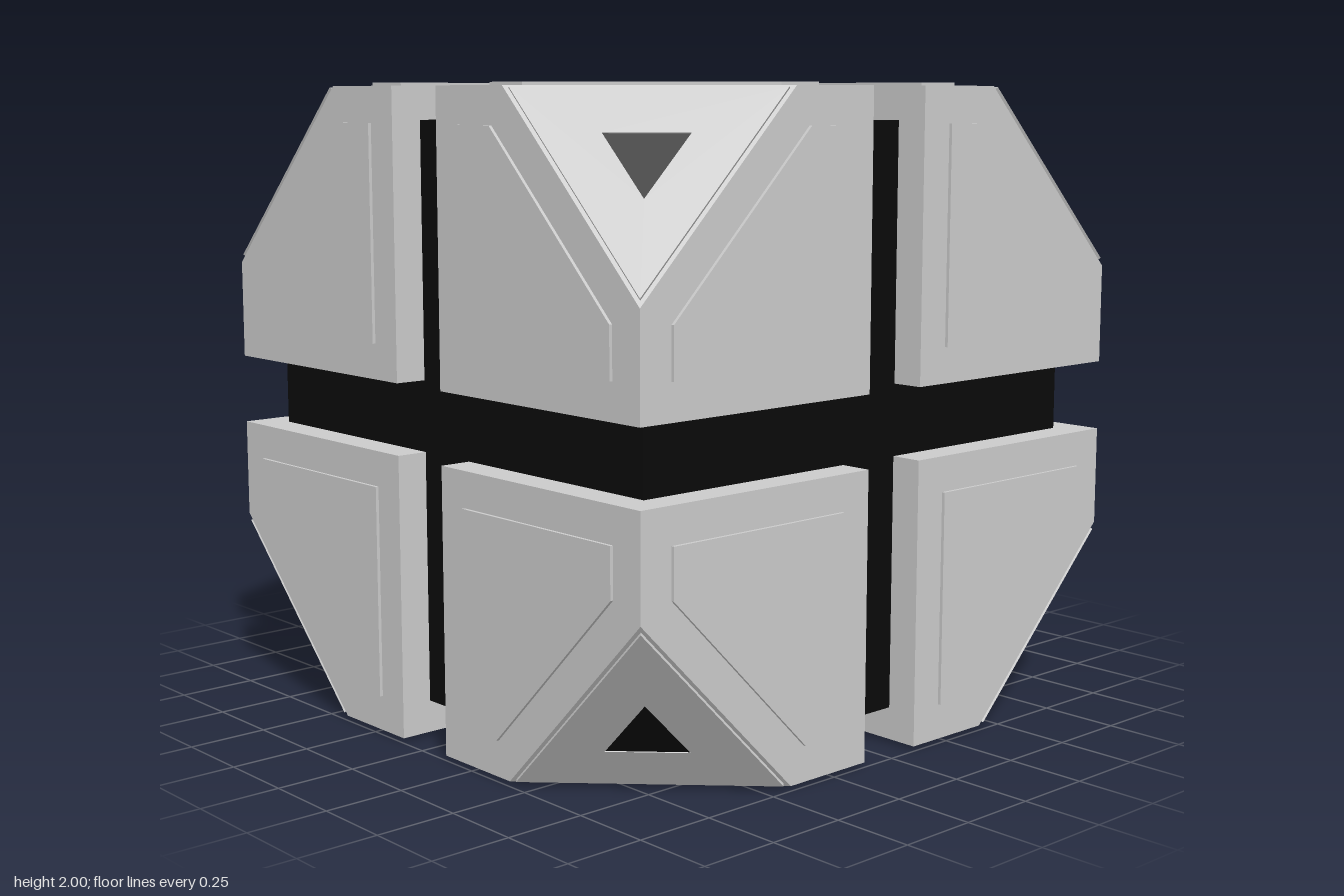
import * as THREE from 'three';
import { ConvexGeometry } from 'three/addons/geometries/ConvexGeometry.js';

const IN = 0.11, OUT = 0.99, CUT = 0.42;   // block inner face, outer face, start of corner cut
const V = (x, y, z) => new THREE.Vector3(x, y, z);

export function createModel() {
  const model = new THREE.Group();
  const grey = new THREE.MeshStandardMaterial({ color: 0xcccccc, flatShading: true });
  const black = new THREE.MeshStandardMaterial({ color: 0x0a0a0a, flatShading: true });

  const add = (parent, name, geometry, material) => {
    const mesh = new THREE.Mesh(geometry, material);
    mesh.name = name;
    parent.add(mesh);
    return mesh;
  };

  // Dark core: a cube with its corners cut off
  const corePoints = [];
  for (const x of [-1, 1]) for (const y of [-1, 1]) for (const z of [-1, 1]) {
    const a = 0.89, b = 0.5;
    corePoints.push(V(x * a, y * a, z * b), V(x * a, y * b, z * a), V(x * b, y * a, z * a));
  }
  add(model, 'core', new ConvexGeometry(corePoints), black).position.y = 1;

  // Corner block: a cube with one corner sliced away
  const blockGeometry = new ConvexGeometry([
    V(IN, IN, IN), V(OUT, IN, IN), V(IN, OUT, IN), V(IN, IN, OUT),
    V(OUT, OUT, IN), V(OUT, IN, OUT), V(IN, OUT, OUT),
    V(CUT, OUT, OUT), V(OUT, CUT, OUT), V(OUT, OUT, CUT),
  ]);

  // Raised five-sided panel, laid on each of the three outer faces
  const outline = [[0.22, 0.22], [0.88, 0.22], [0.88, 0.37], [0.37, 0.88], [0.22, 0.88]];
  const panelGeometry = (toPoint) => new ConvexGeometry(
    outline.flatMap(([u, v]) => [OUT - 0.02, 1].map((h) => toPoint(u, v, h))));
  const panels = {
    frontPanel: panelGeometry((u, v, h) => V(u, v, h)),
    sidePanel: panelGeometry((u, v, h) => V(h, u, v)),
    topPanel: panelGeometry((u, v, h) => V(v, h, u)),
  };

  // Triangular plate with a triangular opening, and its dark inlay, on the sliced corner
  const radius = (OUT - CUT) * Math.sqrt(2 / 3);
  const corners = (r) => [0, 1, 2].map((i) => {
    const a = Math.PI / 2 + i * Math.PI * 2 / 3;
    return new THREE.Vector2(r * Math.cos(a), r * Math.sin(a));
  });
  const n = V(1, 1, 1).normalize();
  const up = V(1, -2, 1).negate().normalize().negate();
  const toCorner = new THREE.Matrix4()
    .makeBasis(up.clone().cross(n), up, n)
    .setPosition((2 * OUT + CUT) / 3, (2 * OUT + CUT) / 3, (2 * OUT + CUT) / 3);
  const plateShape = new THREE.Shape(corners(radius * 0.95));
  plateShape.holes.push(new THREE.Path(corners(radius * 0.3)));
  const extrude = (shape, depth) =>
    new THREE.ExtrudeGeometry(shape, { depth, bevelEnabled: false }).applyMatrix4(toCorner);
  const plateGeometry = extrude(plateShape, 0.01);
  const inlayGeometry = extrude(new THREE.Shape(corners(radius * 0.3)), 0.007);

  // Eight corners: four turns about y, upper and flipped lower
  for (const flip of [0, 1]) for (let turn = 0; turn < 4; turn++) {
    const corner = new THREE.Group();
    corner.name = `${flip ? 'lower' : 'upper'}Corner${turn + 1}`;
    add(corner, 'block', blockGeometry, grey);
    for (const [name, geometry] of Object.entries(panels)) add(corner, name, geometry, grey);
    add(corner, 'cornerPlate', plateGeometry, grey);
    add(corner, 'cornerInlay', inlayGeometry, black);
    corner.rotation.set(flip * Math.PI, turn * Math.PI / 2, 0);
    corner.position.y = 1;
    model.add(corner);
  }
  return model;
}
